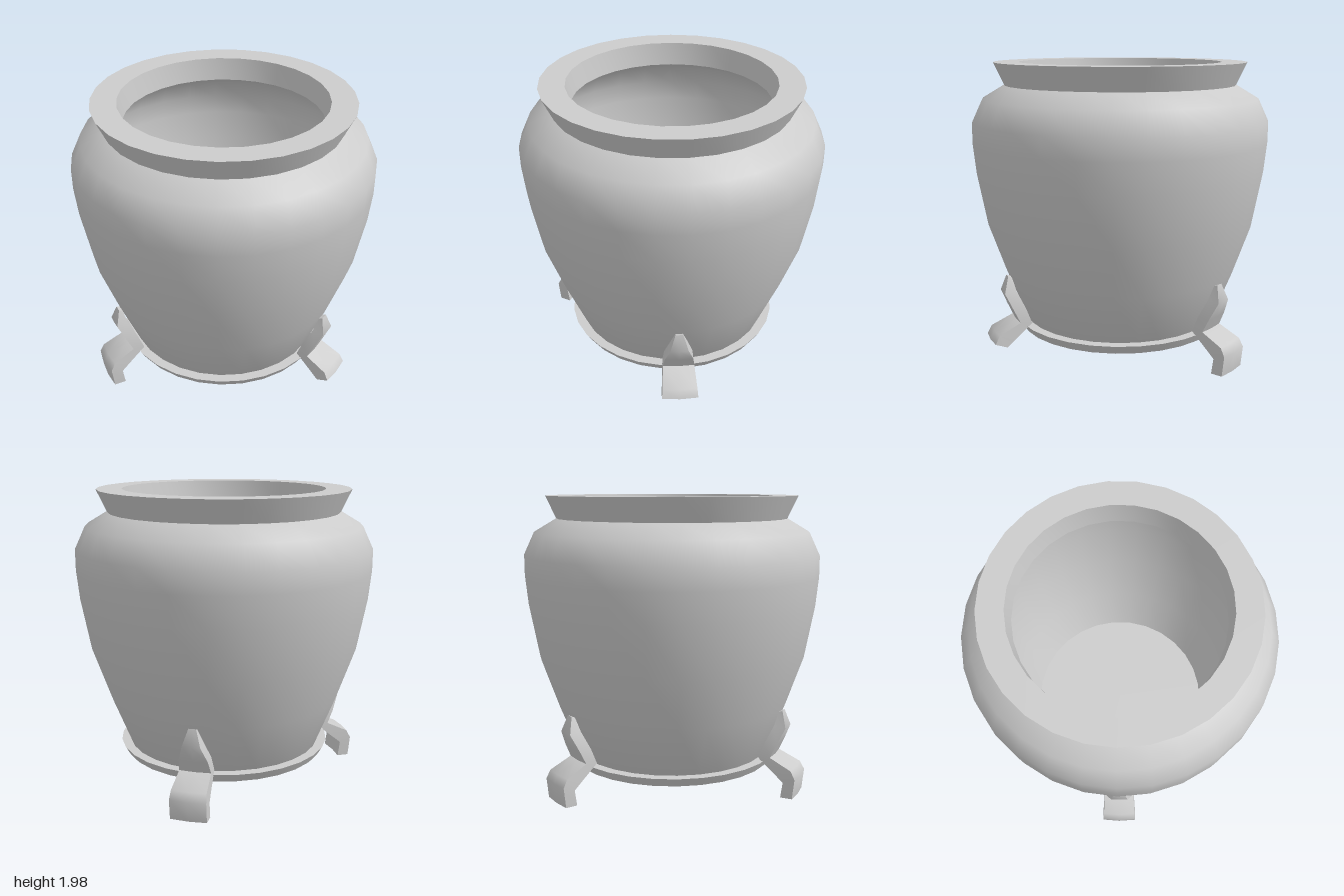
import * as THREE from 'three';
import { toCreasedNormals } from 'three/addons/utils/BufferGeometryUtils.js';

const material = new THREE.MeshStandardMaterial({ color: 0xcccccc });
const SIDES = 29;

function addMesh(parent, name, geometry, crease) {
  const mesh = new THREE.Mesh(toCreasedNormals(geometry, crease), material);
  mesh.name = name;
  parent.add(mesh);
  return mesh;
}

// Turned part from [radius, height] pairs: up the outside, down the inside
function turned(profile) {
  return new THREE.LatheGeometry(profile.map(([r, y]) => new THREE.Vector2(r, y)), SIDES);
}

// Foot cross-sections, top to toe: outer r, outer y, inner r, inner y, half width
const FOOT = [
  [0.82, 0.57, 0.795, 0.56, 0.025],
  [0.855, 0.46, 0.775, 0.47, 0.06],
  [0.81, 0.35, 0.725, 0.35, 0.095],
  [0.77, 0.26, 0.69, 0.25, 0.105],
  [0.92, 0.19, 0.82, 0.145, 0.115],
  [0.95, 0.135, 0.87, 0.105, 0.12],
  [0.935, 0, 0.855, 0, 0.12],
];

// Loft of six-cornered rings, slightly bowed to follow the pot
function footGeometry(sections) {
  const positions = [];
  const index = [];
  const n = 6;
  for (const [ro, yo, ri, yi, w] of sections) {
    const bow = (w * w) / 1.6;
    positions.push(
      -w, yo, ro - bow, 0, yo, ro, w, yo, ro - bow,
      w, yi, ri - bow, 0, yi, ri, -w, yi, ri - bow,
    );
  }
  for (let s = 0; s < sections.length - 1; s++) {
    for (let i = 0; i < n; i++) {
      const a = s * n + i;
      const b = s * n + (i + 1) % n;
      index.push(a, a + n, b + n, a, b + n, b);
    }
  }
  const end = (sections.length - 1) * n;
  for (const [p, q, r, s] of [[0, 1, 4, 5], [1, 2, 3, 4]]) {
    index.push(p, q, r, p, r, s);
    index.push(end + p, end + r, end + q, end + p, end + s, end + r);
  }
  const geometry = new THREE.BufferGeometry();
  geometry.setAttribute('position', new THREE.Float32BufferAttribute(positions, 3));
  geometry.setIndex(index);
  return geometry;
}

export function createModel() {
  const model = new THREE.Group();
  model.name = 'footedPot';

  // Rounded body
  addMesh(model, 'body', turned([
    [0.64, 0.2], [0.665, 0.23], [0.8, 0.57], [0.915, 0.9], [0.98, 1.25],
    [1, 1.45], [1, 1.59], [0.93, 1.74], [0.78, 1.83],
  ]), 0.7);

  // Hollow inside with a flat floor
  addMesh(model, 'interior', turned([
    [0.655, 1.83], [0.74, 1.8], [0.87, 1.72], [0.94, 1.58], [0.94, 1.45],
    [0.92, 1.25], [0.855, 0.9], [0.74, 0.57], [0.62, 0.28], [0, 0.28],
  ]), 0.7);

  // Flared rim
  addMesh(model, 'rim', turned([
    [0.78, 1.83], [0.85, 1.98], [0.68, 1.98], [0.655, 1.83],
  ]), 0.7);

  // Base plate
  addMesh(model, 'base', turned([
    [0, 0.17], [0.695, 0.17], [0.73, 0.23], [0.6, 0.23],
  ]), 0.4);

  // Three feet; the left one stops short of the ground
  const feet = [['backFoot', 178.6, 7], ['leftFoot', 58.6, 6], ['rightFoot', -61.4, 7]];
  for (const [name, degrees, count] of feet) {
    const foot = addMesh(model, name, footGeometry(FOOT.slice(0, count)), 0.8);
    foot.rotation.y = THREE.MathUtils.degToRad(degrees);
  }
  return model;
}
